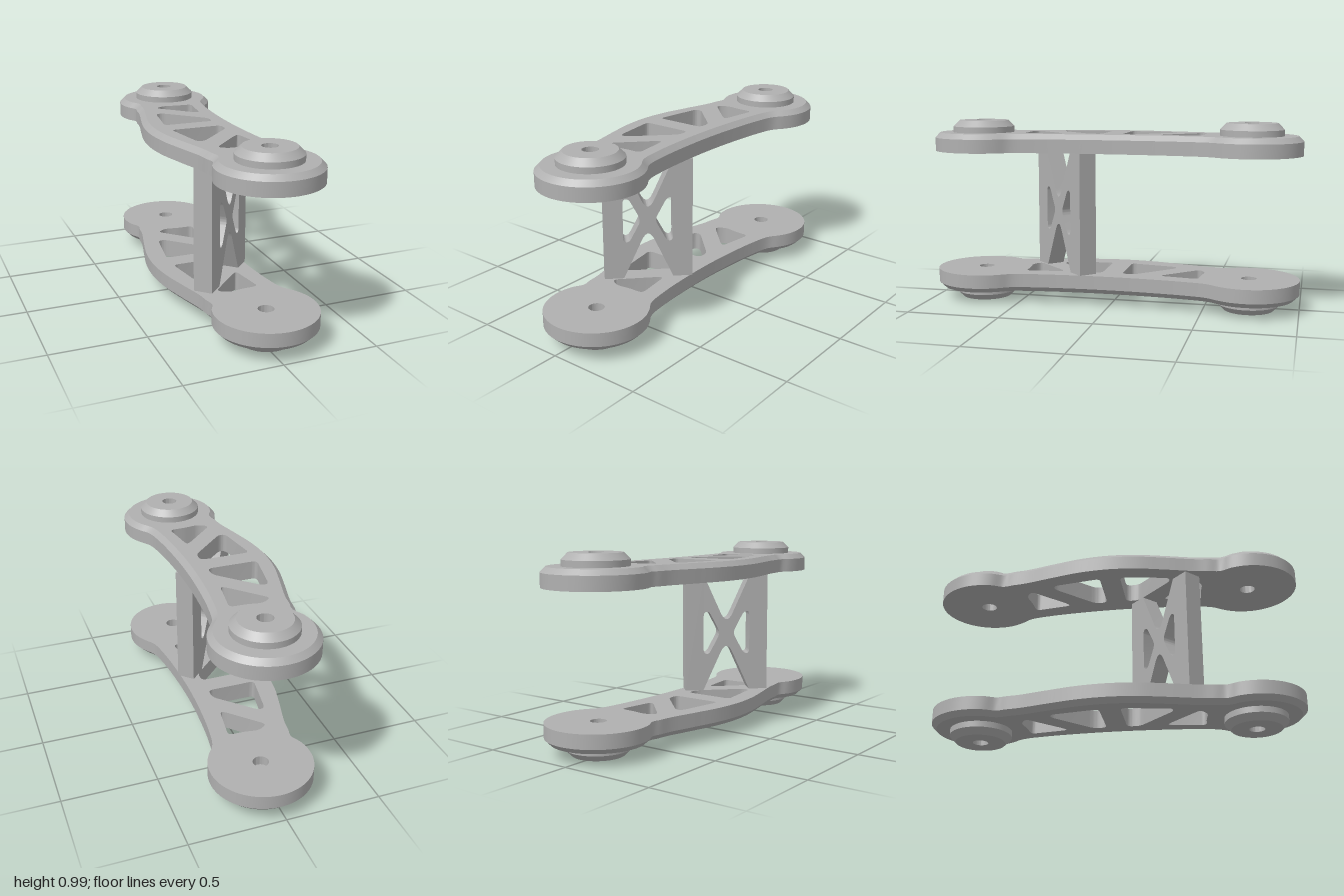
import * as THREE from 'three';
import { mergeGeometries, toCreasedNormals } from 'three/addons/utils/BufferGeometryUtils.js';

const MID = 0.4925;               // height of the symmetry plane
const END = { x: 0.031, z: 0.735, r: 0.265 };
const V2 = (x, y) => new THREE.Vector2(x, y);

// Polygon with corners rounded off over a length t
function roundPoly(corners, t) {
  const out = [], n = corners.length;
  corners.forEach(([x, y, tc = t], i) => {
    const p = V2(x, y);
    if (tc === 0) return out.push(p);
    const toward = (q) => {
      const d = V2(q[0], q[1]).sub(p), l = d.length();
      return p.clone().addScaledVector(d, Math.min(tc, l * 0.48) / l);
    };
    const a = toward(corners[(i + n - 1) % n]), b = toward(corners[(i + 1) % n]);
    out.push(...new THREE.QuadraticBezierCurve(a, p, b).getPoints(7));
  });
  return out;
}

const circle = (x, y, r, n = 32) => Array.from({ length: n }, (_, i) =>
  V2(x + r * Math.cos(i / n * Math.PI * 2), y + r * Math.sin(i / n * Math.PI * 2)));

// Curved dog-bone outline, counter-clockwise
function plateOutline() {
  const right = [[0.214, 0.53], [0.189, 0.4], [0.172, 0.2], [0.166, 0]];
  const left = [[-0.203, 0.54], [-0.212, 0.47], [-0.252, 0.31], [-0.287, 0.155], [-0.3, 0]];
  const upper = [...right.slice(0, -1).reverse()];
  for (let i = 0; i <= 18; i++) {
    const a = THREE.MathUtils.degToRad(-33 + i / 18 * 245);
    upper.push([END.x + END.r * Math.cos(a), END.z + END.r * Math.sin(a)]);
  }
  upper.push(...left.slice(0, -1));
  const lower = upper.map(([x, y]) => [x, -y]).reverse();
  const all = [right.at(-1), ...upper, left.at(-1), ...lower];
  const curve = new THREE.CatmullRomCurve3(all.map(([x, y]) => new THREE.Vector3(x, y, 0)), true);
  return curve.getSpacedPoints(240).slice(0, -1).map((p) => V2(p.x, p.y));
}

function inset(pts, d) {
  const n = pts.length;
  return pts.map((p, i) => {
    const t = pts[(i + 1) % n].clone().sub(pts[(i + n - 1) % n]).normalize();
    return V2(p.x - t.y * d, p.y + t.x * d);
  });
}

// Wall between two matching rings
function wall(r0, z0, r1, z1) {
  const pos = [], n = r0.length;
  for (let i = 0; i < n; i++) {
    const j = (i + 1) % n;
    const a = [r0[i].x, r0[i].y, z0], b = [r0[j].x, r0[j].y, z0];
    const c = [r1[j].x, r1[j].y, z1], d = [r1[i].x, r1[i].y, z1];
    pos.push(...a, ...b, ...c, ...a, ...c, ...d);
  }
  return new THREE.BufferGeometry().setAttribute('position', new THREE.Float32BufferAttribute(pos, 3));
}

function cap(ring, holes, z, flip) {
  const shape = new THREE.Shape(ring);
  shape.holes = holes.map((h) => new THREE.Path(h));
  const g = new THREE.ShapeGeometry(shape);
  if (flip) g.setIndex(Array.from(g.index.array).reverse());
  const flat = g.toNonIndexed();
  flat.deleteAttribute('uv');
  flat.deleteAttribute('normal');
  return flat.translate(0, 0, z);
}

function plateGeometry() {
  const outer = plateOutline(), top = inset(outer, 0.027);
  const windowA = [[-0.203, 0.055], [0.07, 0.055], [0.07, 0.125], [-0.125, 0.32], [-0.162, 0.315]];
  const windowB = [[0.078, 0.268], [0.108, 0.476], [0.02, 0.478], [-0.06, 0.492], [-0.115, 0.455], [0.05, 0.285]];
  const windows = [];
  for (const w of [windowA, windowB]) for (const s of [1, -1]) {
    const pts = roundPoly(w.map(([x, y]) => [x, y * s]), 0.03);
    windows.push(THREE.ShapeUtils.isClockWise(pts) ? pts : pts.reverse());
  }
  const bores = [1, -1].map((s) => circle(END.x, END.z * s, 0.041).reverse());
  const holes = [...windows, ...bores];
  const g = mergeGeometries([
    wall(outer, 0.82, outer, 0.893), wall(outer, 0.893, top, 0.92),
    ...windows.map((w) => wall(w, 0.82, w, 0.92)),
    cap(outer, holes, 0.82, true), cap(top, holes, 0.92, false),
  ]);
  return toCreasedNormals(g.rotateX(-Math.PI / 2), 0.5).translate(0, -MID, 0);
}

// Chamfered boss with a stepped bore through the plate
function bossGeometry() {
  const profile = [[0.166, 0.92], [0.166, 0.952], [0.133, 0.985], [0.041, 0.985], [0.041, 0.93],
    [0.021, 0.93], [0.021, 0.87], [0.041, 0.87], [0.041, 0.82]];
  const g = new THREE.LatheGeometry(profile.map(([r, y]) => V2(r, y - MID)), 64);
  return toCreasedNormals(g, 0.5);
}

// Upright board with X-shaped cutouts
function boardGeometry() {
  const w = 0.2335, h = 0.3265, v = 0.131;
  const outline = roundPoly([[-w, -h, 0], [-v, -h, 0], [0, -0.037, 0.085], [v, -h, 0], [w, -h, 0],
    [w, h, 0], [v, h, 0], [0, 0.037, 0.085], [-v, h, 0], [-w, h, 0]], 0);
  const shape = new THREE.Shape(outline);
  for (const s of [1, -1]) {
    shape.holes.push(new THREE.Path(roundPoly(
      [[s * v, 0.118], [s * 0.1, 0.122], [s * 0.036, 0], [s * 0.1, -0.122], [s * v, -0.118]], 0.028)));
  }
  const g = new THREE.ExtrudeGeometry(shape, { depth: 0.099, bevelEnabled: false });
  return toCreasedNormals(g.translate(0, 0, -0.0495), 0.5);
}

export function createModel() {
  const model = new THREE.Group();
  model.name = 'linkBracket';
  const grey = new THREE.MeshStandardMaterial({ color: 0xb0b0b0 });
  grey.name = 'grey';
  const add = (parent, geometry, name) => {
    const mesh = new THREE.Mesh(geometry, grey);
    mesh.name = name;
    parent.add(mesh);
    return mesh;
  };
  const plate = plateGeometry(), boss = bossGeometry();

  // Upper arm, and the same arm turned over below
  for (const [name, turn] of [['upperArm', 0], ['lowerArm', Math.PI]]) {
    const arm = new THREE.Group();
    arm.name = name;
    add(arm, plate, 'plate');
    add(arm, boss, 'frontBoss').position.set(END.x, 0, END.z);
    add(arm, boss, 'backBoss').position.set(END.x, 0, -END.z);
    arm.position.y = MID;
    arm.rotation.x = turn;
    model.add(arm);
  }

  // Diagonal board joining the arms
  const board = add(model, boardGeometry(), 'crossBoard');
  board.position.set(-0.02, MID, 0.28);
  board.rotation.y = Math.PI / 4;
  return model;
}
